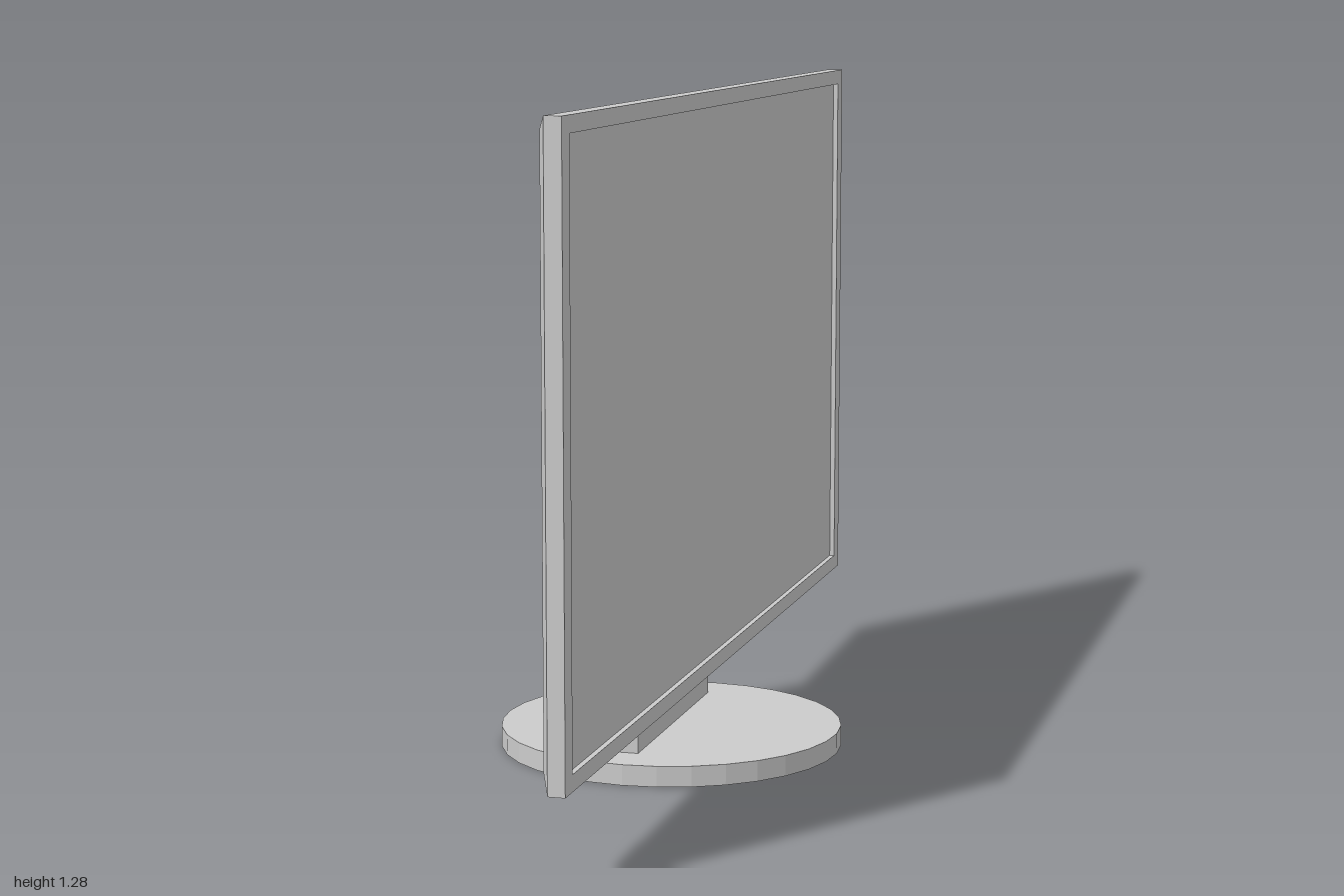
import * as THREE from 'three';

const material = new THREE.MeshStandardMaterial({ color: 0xcccccc, flatShading: true });

function part(name, geometry, x, y, z) {
  const mesh = new THREE.Mesh(geometry, material);
  mesh.name = name;
  mesh.position.set(x, y, z);
  return mesh;
}

// Lofts rectangles given as [x, half height, half depth] along +x, capping the first.
function loftRectangles(sections) {
  const points = [];
  const index = [0, 1, 2, 0, 2, 3];
  sections.forEach(([x, h, d], s) => {
    points.push(x, h, d, x, h, -d, x, -h, -d, x, -h, d);
    if (s === 0) return;
    for (let i = 0; i < 4; i++) {
      const j = (i + 1) % 4;
      const a = (s - 1) * 4, b = s * 4;
      index.push(a + i, b + i, b + j, a + i, b + j, a + j);
    }
  });
  const geometry = new THREE.BufferGeometry();
  geometry.setAttribute('position', new THREE.Float32BufferAttribute(points, 3));
  geometry.setIndex(index);
  const flat = geometry.toNonIndexed();
  flat.computeVertexNormals();
  return flat;
}

export function createModel() {
  const group = new THREE.Group();
  group.name = 'monitor';
  const centreY = 0.725;

  // Round foot and flat upright
  group.add(part('base', new THREE.CylinderGeometry(0.335, 0.335, 0.04, 32), 0, 0.02, 0));
  group.add(part('standPost', new THREE.BoxGeometry(0.047, 0.825, 0.5), -0.0175, 0.4525, 0));

  // Housing: tapered back, chamfer, rim, bezel and recess wall
  group.add(part('housing', loftRectangles([
    [0.005, 0.135, 0.25],
    [0.052, 0.535, 0.95],
    [0.075, 0.56, 1],
    [0.106, 0.56, 1],
    [0.106, 0.53, 0.96],
    [0.096, 0.53, 0.96],
  ]), 0, centreY, 0));

  // Recessed display, facing +x
  const display = new THREE.PlaneGeometry(1.92, 1.06).rotateY(Math.PI / 2);
  group.add(part('screen', display, 0.096, centreY, 0));

  return group;
}
